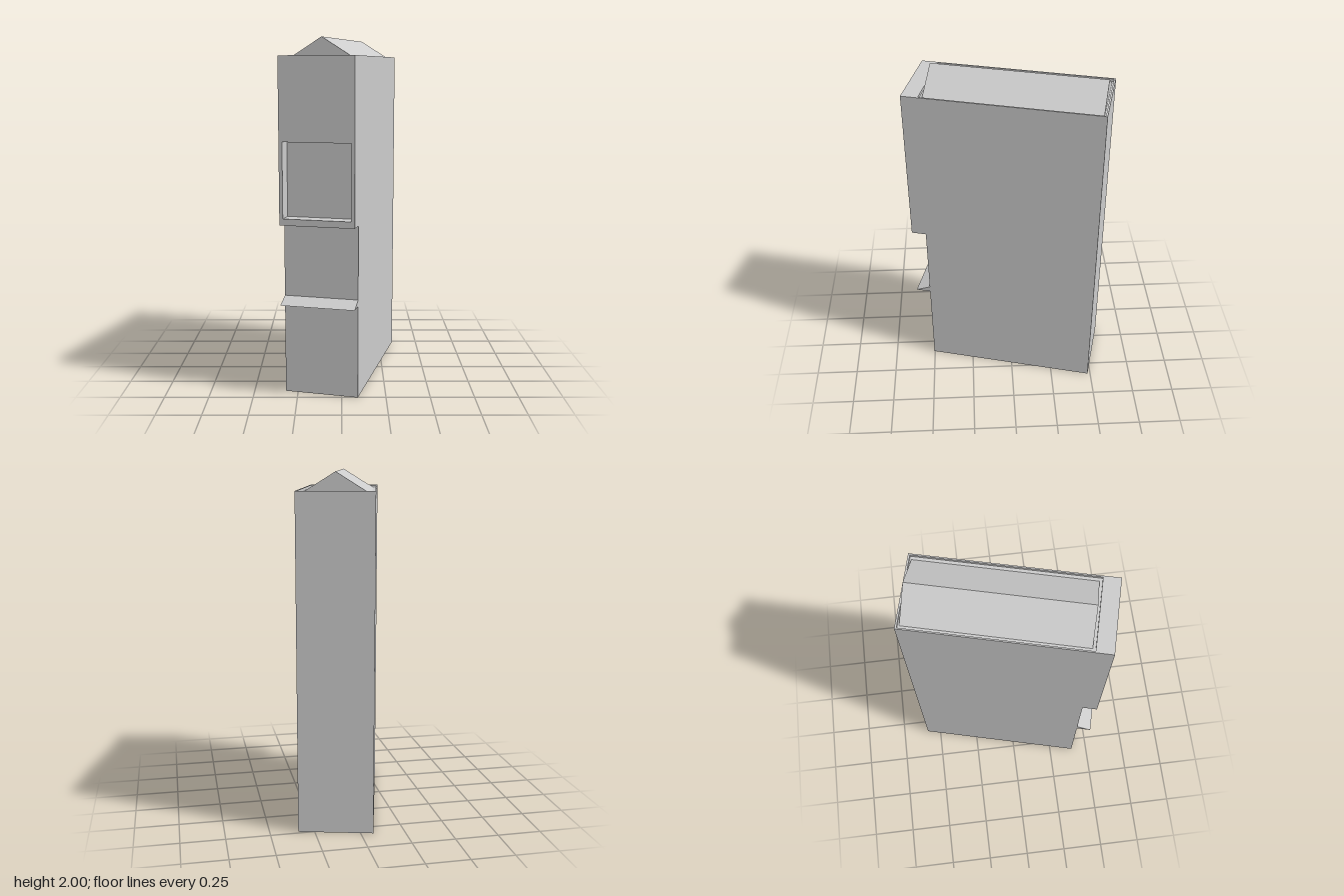
import * as THREE from 'three';

const W = 0.212, FRONT = 0.552, WALL = 0.466, BACK = -0.552, TOP = 1.9;

export function createModel() {
  const model = new THREE.Group();
  model.name = 'building';
  const material = new THREE.MeshStandardMaterial({
    color: 0xcccccc, flatShading: true, side: THREE.DoubleSide,
  });

  function add(name, geometry) {
    geometry.computeVertexNormals();
    const mesh = new THREE.Mesh(geometry, material);
    mesh.name = name;
    model.add(mesh);
    return mesh;
  }

  // Flat polygons, each a list of corners counter-clockwise from outside
  function faces(name, polygons) {
    const pos = [];
    for (const p of polygons)
      for (let i = 1; i < p.length - 1; i++) pos.push(...p[0], ...p[i], ...p[i + 1]);
    const g = new THREE.BufferGeometry();
    g.setAttribute('position', new THREE.Float32BufferAttribute(pos, 3));
    return add(name, g);
  }

  // Rectangle with a rectangular hole, each given as [x0, y0, x1, y1]
  function frame(outer, hole) {
    const points = ([a, b, c, d]) => [[a, b], [c, b], [c, d], [a, d]].map(p => new THREE.Vector2(...p));
    const shape = new THREE.Shape(points(outer));
    shape.holes.push(new THREE.Path(points(hole)));
    return new THREE.ShapeGeometry(shape);
  }

  // Side outline as (z, y): recessed ground floor, ledge and overhanging upper front
  const outline = [
    [BACK, 0], [WALL, 0], [WALL, 0.53], [FRONT, 0.53], [WALL, 0.567],
    [WALL, 0.983], [FRONT, 0.983], [FRONT, TOP], [BACK, TOP],
  ];
  const sideShape = new THREE.Shape(outline.map(p => new THREE.Vector2(...p)));
  for (const s of [1, -1]) {
    const side = new THREE.ShapeGeometry(sideShape).rotateY(-Math.PI / 2);
    if (s > 0) side.scale(-1, 1, 1).setIndex([...side.index.array].reverse());
    side.translate(s * W, 0, 0);
    add(s > 0 ? 'leftWall' : 'rightWall', side);
  }

  // Strips across the width; the underside is open, the window front and roof are separate
  const strip = (name, i) => {
    const [z0, y0] = outline[i], [z1, y1] = outline[(i + 1) % outline.length];
    faces(name, [[[-W, y0, z0], [W, y0, z0], [W, y1, z1], [-W, y1, z1]]]);
  };
  strip('lowerFrontWall', 1);
  strip('ledgeUnderside', 2);
  strip('ledgeSlope', 3);
  strip('middleFrontWall', 4);
  strip('overhangUnderside', 5);
  strip('backWall', 8);

  // Upper front with its recessed window
  const wx = 0.192, y0 = 1.02, y1 = 1.44;
  add('upperFrontWall', frame([-W, 0.983, W, TOP], [-wx, y0, wx, y1]).translate(0, 0, FRONT));
  const win = z => [[-wx, y0, z], [wx, y0, z], [wx, y1, z], [-wx, y1, z]];
  const near = win(FRONT), far = win(WALL);
  faces('windowRecess', [far, ...near.map((p, i) => {
    const j = (i + 1) % 4;
    return [p, near[j], far[j], far[i]];
  })]);

  // Roof rim around a shallow sunken deck
  const rx = 0.204, rb = -0.542, rf = 0.457, deck = 1.884;
  add('roofRim', frame([-W, -FRONT, W, -BACK], [-rx, -rf, rx, -rb])
    .rotateX(-Math.PI / 2).translate(0, TOP, 0));
  const rim = y => [[-rx, y, rf], [rx, y, rf], [rx, y, rb], [-rx, y, rb]];
  const upper = rim(TOP), lower = rim(deck);
  faces('roofDeck', [lower, ...upper.map((p, i) => {
    const j = (i + 1) % 4;
    return [p, upper[j], lower[j], lower[i]];
  })]);

  // Gabled roof standing on the deck
  const gx = 0.186, gf = 0.441, gb = -0.533;
  const gable = z => [[-gx, deck, z], [gx, deck, z], [0, 2, z]];
  const [a, b, c] = gable(gf), [d, e, f] = gable(gb);
  faces('gableRoof', [[a, b, c], [e, d, f], [b, e, f, c], [d, a, c, f]]);

  // The whole building is turned slightly about the vertical
  model.rotation.y = -0.248;
  const root = new THREE.Group();
  root.name = 'model';
  root.add(model);
  return root;
}
